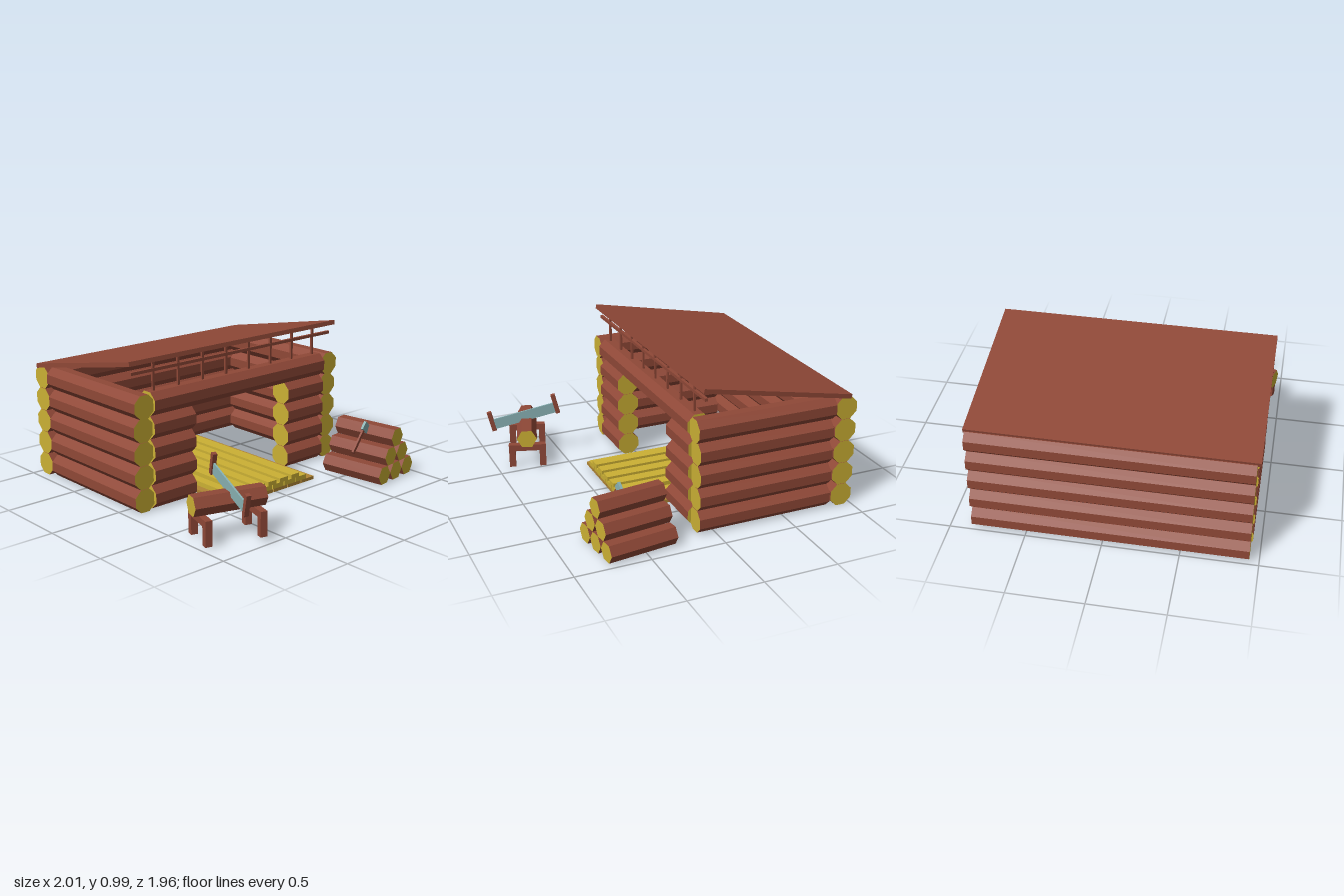
import * as THREE from 'three';

export function createModel() {
  const mat = (name, color) => {
    const m = new THREE.MeshStandardMaterial({ color });
    m.name = name;
    return m;
  };
  const bark = mat('red bark', 0x8f4837);
  const cut = mat('yellow cut wood', 0xcbb034);
  const tan = mat('tan plank', 0xb08535);
  const steel = mat('blue steel', 0x88b0b2);

  const model = new THREE.Group();
  const group = (name, parent = model) => {
    const g = new THREE.Group();
    g.name = name;
    parent.add(g);
    return g;
  };
  const box = (parent, name, material, size, pos) => {
    const m = new THREE.Mesh(new THREE.BoxGeometry(...size), material);
    m.name = name;
    m.position.set(...pos);
    parent.add(m);
    return m;
  };
  // Faceted log along x (or along z) with pale cut ends; apothem is half its height
  const log = (parent, name, sides, apothem, length, pos, alongZ = false) => {
    const r = apothem / Math.cos(Math.PI / sides);
    const start = sides === 8 ? Math.PI / 8 : 0;
    const geo = new THREE.CylinderGeometry(r, r, length, sides, 1, false, start)
      .rotateZ(Math.PI / 2).toNonIndexed();
    geo.computeVertexNormals();
    const m = new THREE.Mesh(geo, [bark, cut, cut]);
    m.name = name;
    m.position.set(...pos);
    if (alongZ) m.rotation.y = Math.PI / 2;
    parent.add(m);
    return m;
  };

  // Cabin walls: five courses, with a doorway below the top front log
  const cabin = group('cabin');
  const A = 0.0765;
  const alongZ = (name, x, y, z0, z1) =>
    log(cabin, name, 8, A, z1 - z0, [x, y, (z0 + z1) / 2], true);
  for (let i = 0; i < 5; i++) {
    const y = 0.082 + i * 0.155;
    const top = i === 4;
    alongZ('backWallLog', -0.924, y, -0.85, 0.937);
    const x0 = top ? -0.85 : -0.835, x1 = top ? 0.122 : 0.11;
    for (const z of [0.87, -0.78])
      log(cabin, 'sideWallLog', 8, A, x1 - x0, [(x0 + x1) / 2, y, z]);
    if (top) {
      alongZ('lintelLog', 0.062, y, -0.72, 0.8);
    } else {
      alongZ('doorSideLog', 0.055, y, 0.46, 0.8);
      alongZ('doorSideLog', 0.055, y, -0.72, -0.375);
    }
  }

  // Sloping roof with the posts and rail that hold up its high edge
  const roof = group('roof');
  box(roof, 'roofSlab', bark, [1.068, 0.03, 1.82], [-0.427, 0.882, 0.05]).rotation.z = 0.193;
  for (let i = 0; i < 8; i++)
    box(roof, 'roofPost', bark, [0.014, 0.2, 0.016], [0.066, 0.87, 0.755 - i * 0.2025]);
  box(roof, 'roofRail', bark, [0.02, 0.02, 1.76], [0.066, 0.913, 0.05]);

  // Floor running out through the doorway: tan planks, then two staggered yellow layers
  const floor = group('floor');
  const plank = (name, m, y, h, z, w) =>
    box(floor, name, m, [1.23, h, w], [-0.215, y, z]);
  for (let i = 0; i < 6; i++) plank('basePlank', tan, 0.016, 0.022, 0.342 - i * 0.1285, 0.12);
  for (let i = 0; i < 6; i++) plank('middlePlank', cut, 0.043, 0.032, 0.3 - i * 0.107, 0.1);
  for (let i = 0; i < 5; i++) plank('topPlank', cut, 0.073, 0.028, 0.247 - i * 0.107, 0.075);

  // Firewood stacked 3-2-1
  const pile = group('woodpile');
  pile.position.set(0.548, 0.01, -0.747);
  pile.rotation.y = 0.126;
  const H = 0.0595;
  for (let row = 0; row < 3; row++)
    for (let i = 0; i < 3 - row; i++)
      log(pile, 'firewoodLog', 6, H, 0.468, [0, H * (2 * row + 1), (i - (2 - row) / 2) * 0.14]);

  // Axe leaning in the woodpile
  const axe = group('axe');
  axe.position.set(0.587, 0.285, -0.61);
  axe.rotation.set(-0.72, 0.126, 0, 'YXZ');
  box(axe, 'axeHandle', bark, [0.014, 0.22, 0.022], [0, 0, 0]);
  box(axe, 'axeHead', steel, [0.018, 0.06, 0.075], [0, 0.095, -0.012]);

  // Sawhorse: a log resting on two three-piece frames
  const horse = group('sawhorse');
  horse.position.set(0.735, 0, 0.73);
  horse.rotation.y = -0.3;
  log(horse, 'sawhorseLog', 6, 0.0605, 0.475, [0, 0.235, 0], true);
  for (const z of [-0.18, 0.18]) {
    box(horse, 'crossbar', bark, [0.26, 0.045, 0.045], [0, 0.152, z]);
    for (const x of [-0.107, 0.107])
      box(horse, 'leg', bark, [0.045, 0.12, 0.045], [x, 0.07, z]);
  }

  // Two-handled saw lying across the log
  const saw = group('saw');
  saw.position.set(0.747, 0.315, 0.73);
  saw.rotation.set(0, -0.28, -0.24, 'YXZ');
  box(saw, 'sawBlade', steel, [0.46, 0.075, 0.012], [0, 0, 0]);
  for (const x of [-0.235, 0.235])
    box(saw, 'sawHandle', bark, [0.03, 0.145, 0.03], [x, 0.027, 0]);

  return model;
}
